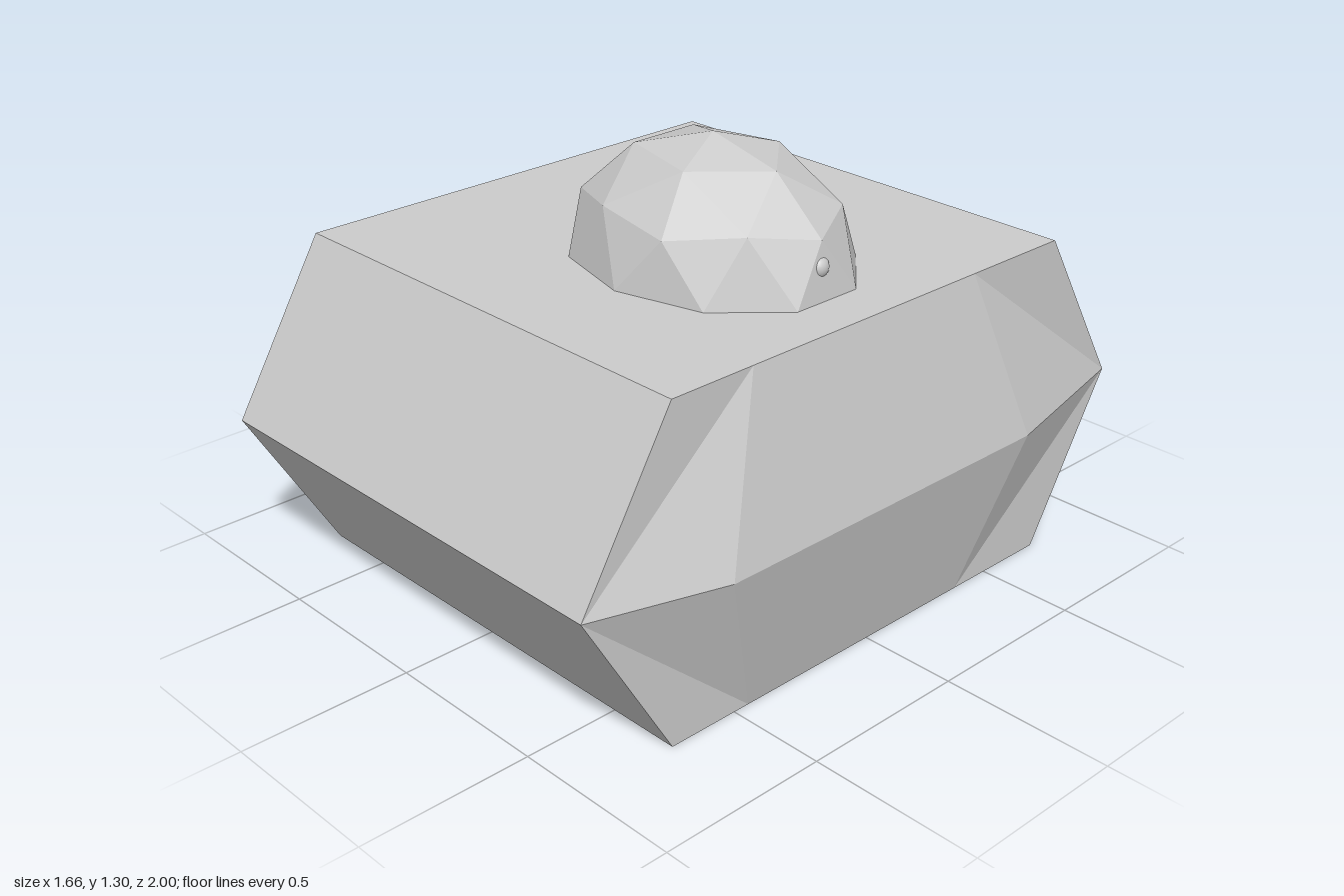
import * as THREE from 'three';
import { ConvexGeometry } from 'three/addons/geometries/ConvexGeometry.js';

const faceted = () => new THREE.MeshStandardMaterial({ color: 0xcccccc, flatShading: true });

// Bevelled block, built one octant at a time and mirrored about its middle
function blockGeometry() {
  const c = 0.715, w = 0.83, h = 0.4775, long = 1;
  const pos = [];
  for (const sx of [1, -1]) for (const sy of [1, -1]) for (const sz of [1, -1]) {
    const bulgeZ = sz > 0 ? 0.62 : 0.5;   // end of the widest stretch of the side
    const rimZ = sz > 0 ? 0.45 : 0.37;    // where its crease meets the flat rim
    const put = ([x, y, z]) => pos.push(sx * x, h + sy * y, sz * z);
    const tri = (a, b, d) => (sx * sy * sz > 0 ? [a, b, d] : [a, d, b]).forEach(put);
    const quad = (a, b, d, e) => { tri(a, b, d); tri(a, d, e); };
    const corner = [c, h, c], end = [c, 0, long], bulge = [w, 0, bulgeZ], rim = [c, h, rimZ];
    quad([0, h, 0], [0, h, c], corner, [c, h, 0]);      // flat top or bottom
    quad([0, 0, long], end, corner, [0, h, c]);         // sloped end
    tri(end, rim, corner);                              // side corner
    tri(end, bulge, rim);
    quad(bulge, [w, 0, 0], [c, h, 0], rim);             // sloped side
  }
  const g = new THREE.BufferGeometry();
  g.setAttribute('position', new THREE.Float32BufferAttribute(pos, 3));
  g.computeVertexNormals();
  return g;
}

// Once-subdivided icosahedron with a pole up, stretched along x
function domeGeometry() {
  const pts = [];
  const add = (deg, r, y) => {
    const a = THREE.MathUtils.degToRad(deg);
    const p = new THREE.Vector3(0.44 * r * Math.cos(a), 0.35 * y, 0.35 * r * Math.sin(a));
    pts.push(p);
    if (y > 0) pts.push(p.clone().negate());
  };
  add(0, 0, 1);
  for (let i = 0; i < 5; i++) {
    add(72 * i, 0.526, 0.851);
    add(72 * i, 0.894, 0.447);
    add(72 * i + 36, 0.851, 0.526);
    add(72 * i + 18, 1, 0);
    add(72 * i + 54, 1, 0);
  }
  return new ConvexGeometry(pts);
}

export function createModel() {
  const model = new THREE.Group();
  model.name = 'domedBlock';

  const block = new THREE.Mesh(blockGeometry(), faceted());
  block.name = 'block';

  const dome = new THREE.Mesh(domeGeometry(), faceted());
  dome.name = 'dome';
  dome.position.set(0.153, 0.955, 0.04);

  // Small round stud on the side of the dome
  const stud = new THREE.Mesh(
    new THREE.SphereGeometry(0.033, 20, 14),
    new THREE.MeshStandardMaterial({ color: 0xcccccc })
  );
  stud.name = 'stud';
  stud.position.set(0.535, 1.04, 0.045);

  model.add(block, dome, stud);
  return model;
}
